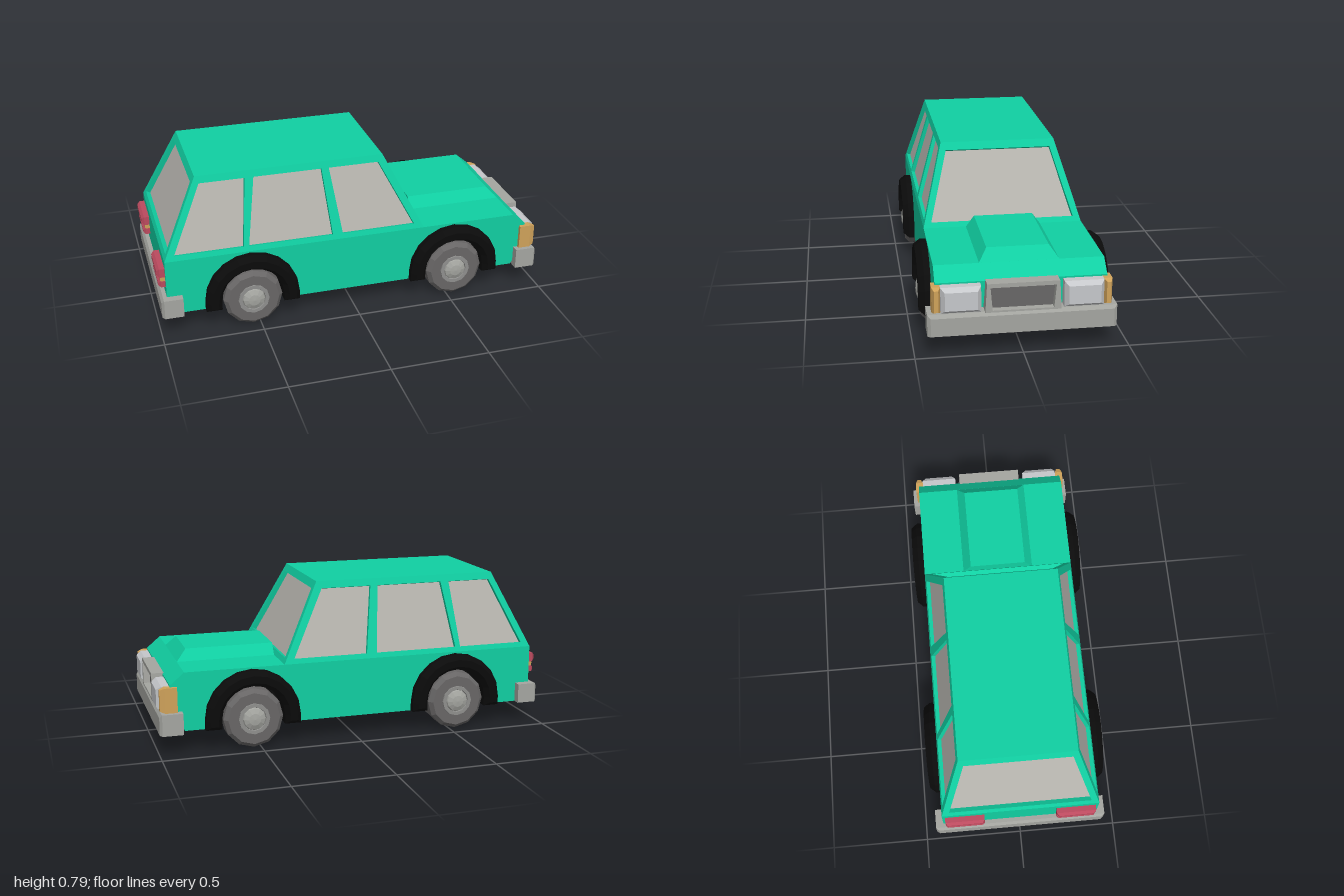
import * as THREE from 'three';
import { ConvexGeometry } from 'three/addons/geometries/ConvexGeometry.js';

const V = (x, y, z) => new THREE.Vector3(x, y, z);
const mat = (name, color, flatShading = true) => {
  const m = new THREE.MeshStandardMaterial({ color });
  m.name = name;
  m.flatShading = flatShading;
  return m;
};
// Rectangles across the x axis and across the y axis, joined by hull()
const rectX = (x, y0, y1, z0, z1) => [V(x, y0, z0), V(x, y1, z0), V(x, y1, z1), V(x, y0, z1)];
const rectY = (y, x0, x1, z) => [V(x0, y, -z), V(x1, y, -z), V(x1, y, z), V(x0, y, z)];
const hull = (a, b) => new ConvexGeometry([...a, ...b]);
const poly = (pts) => new THREE.Shape(pts.map(([x, y]) => new THREE.Vector2(x, y)));

// Flat panel with window holes, given by 3D corners and thickened inward
function panel(corners, holes, depth) {
  const u = corners[1].clone().sub(corners[0]).normalize();
  const n = u.clone().cross(corners[3].clone().sub(corners[0])).normalize();
  const v = n.clone().cross(u);
  const flat = (p) => {
    const d = p.clone().sub(corners[0]);
    return [d.dot(u), d.dot(v)];
  };
  const shape = poly(corners.map(flat));
  shape.holes = holes.map((h) => poly(h.map(flat)));
  const g = new THREE.ExtrudeGeometry(shape, { depth, bevelEnabled: false });
  g.translate(0, 0, -depth);
  return g.applyMatrix4(new THREE.Matrix4().makeBasis(u, v, n).setPosition(corners[0]));
}

// Arc over a wheel, from its left end to its right end
const axleX = 0.535, axleY = 0.155, floorY = 0.107;
function arc(cx, r, steps = 10) {
  const pts = [[cx - r, floorY]];
  for (let i = 0; i <= steps; i++) {
    const a = Math.PI * (1 - i / steps);
    pts.push([cx + r * Math.cos(a), axleY + r * Math.sin(a)]);
  }
  pts.push([cx + r, floorY]);
  return pts;
}

export function createModel() {
  const car = new THREE.Group();
  car.name = 'car';
  const green = mat('greenPaint', 0x10cfa2);
  const glass = mat('windowGlass', 0xb7b5af);
  const black = mat('blackTrim', 0x0b0b0b);
  const rubber = mat('darkGrey', 0x686666);
  const rim = mat('rimGrey', 0x8f8f8d);
  const metal = mat('bumperMetal', 0xa4a5a0);
  const lamp = mat('lampSilver', 0xc5c7ca);
  const amber = mat('amberLens', 0xcfa25a);
  const red = mat('redLens', 0xbb4a5e);
  const add = (name, geometry, material, parent = car) => {
    const m = new THREE.Mesh(geometry, material);
    m.name = name;
    parent.add(m);
    return m;
  };
  const box = (x0, x1, y0, y1, z0, z1) => hull(rectX(x0, y0, y1, z0, z1), rectX(x1, y0, y1, z0, z1));

  // Lower body with wheel openings
  const body = new THREE.ExtrudeGeometry(poly([
    [-0.93, floorY], ...arc(-axleX, 0.2), ...arc(axleX, 0.2),
    [0.87, floorY], [0.93, 0.2], [0.938, 0.34], [0.867, 0.4], [-0.96, 0.4], [-0.96, 0.2],
  ]), { depth: 0.8, bevelEnabled: false });
  add('body', body.translate(0, 0, -0.4), green);
  add('bonnetBulge', hull(
    [V(0.37, 0.39, -0.195), V(0.37, 0.39, 0.195), V(0.876, 0.39, -0.195), V(0.876, 0.39, 0.195)],
    [V(0.37, 0.455, -0.147), V(0.37, 0.455, 0.147), V(0.816, 0.455, -0.147), V(0.816, 0.455, 0.147)],
  ), green);

  // Cabin: glass core, roof and window frames
  const y0 = 0.4, y1 = 0.787, rear0 = -0.96, rear1 = -0.775, front0 = 0.37, front1 = 0.175;
  add('windows', hull(rectY(0.39, -0.937, 0.345, 0.382), rectY(0.775, -0.757, 0.157, 0.275)), glass);
  add('roof', hull(rectY(y1 - 0.02, rear1 - 0.0096, front1 + 0.01, 0.2957), rectY(y1, rear1, front1, 0.29)), green);
  const sideZ = (y) => 0.4 - (0.11 * (y - y0)) / (y1 - y0);
  const openings = [
    [-0.91, -0.567, -0.532, -0.757],
    [-0.54, -0.112, -0.145, -0.488],
    [-0.06, 0.318, 0.15, -0.107],
  ];
  for (const s of [1, -1]) {
    const side = (x, y) => V(x, y, s * sideZ(y));
    const order = (a) => (s > 0 ? a : [a[1], a[0], a[3], a[2]]);
    const corners = order([side(rear0, y0), side(front0, y0), side(front1, y1), side(rear1, y1)]);
    const holes = openings.map(([a, b, c, d]) => [side(a, 0.425), side(b, 0.425), side(c, 0.752), side(d, 0.752)]);
    add(s > 0 ? 'rightWindowFrame' : 'leftWindowFrame', panel(corners, holes, 0.025), green);
  }
  for (const [name, a, b, s] of [['windscreenFrame', front0, front1, 1], ['rearWindowFrame', rear0, rear1, -1]]) {
    const at = (y, z) => V(a + ((b - a) * (y - y0)) / (y1 - y0), y, z * s);
    add(name, panel(
      [at(y0, 0.4), at(y0, -0.4), at(y1, -0.29), at(y1, 0.29)],
      [[at(0.425, 0.36), at(0.425, -0.36), at(0.75, -0.266), at(0.75, 0.266)]], 0.025), green);
  }

  // Underside
  add('floorPan', box(-0.93, 0.88, 0.1, 0.11, -0.3, 0.3), rubber);
  add('chassis', hull(rectY(0.07, -0.705, 0.715, 0.22), rectY(0.105, -0.73, 0.742, 0.22)), rubber);

  // Wheels, arches and wells
  const archShape = poly([...arc(0, 0.238), ...arc(0, 0.158).reverse()]);
  const archGeo = new THREE.ExtrudeGeometry(archShape, {
    depth: 0.125, bevelEnabled: true, bevelSegments: 1, bevelSize: 0.022, bevelOffset: -0.022, bevelThickness: 0.03,
  }).translate(0, 0, 0.305);
  const turned = (pts) => new THREE.LatheGeometry(pts.map(([r, z]) => new THREE.Vector2(r, z)), 12)
    .rotateX(Math.PI / 2).translate(0, 0.15, 0);
  const tyreGeo = turned([[0, 0.315], [0.13, 0.315], [0.15, 0.335], [0.15, 0.42], [0.13, 0.44], [0.078, 0.44], [0.07, 0.425], [0, 0.425]]);
  const rimGeo = turned([[0.08, 0.43], [0.078, 0.446], [0.06, 0.446], [0.056, 0.435]]);
  const capGeo = turned([[0.06, 0.435], [0.054, 0.447], [0.03, 0.457], [0, 0.46]]);
  for (const x of [axleX, -axleX]) {
    add('wheelWell', box(x - 0.21, x + 0.21, 0.102, 0.37, -0.3, 0.3), black);
    for (const s of [1, -1]) {
      const corner = new THREE.Group();
      corner.name = (x > 0 ? 'front' : 'rear') + 'Wheel';
      corner.position.x = x;
      corner.rotation.y = s > 0 ? 0 : Math.PI;
      add('wheelArch', archGeo, black, corner);
      add('tyre', tyreGeo, rubber, corner);
      add('rim', rimGeo, rim, corner);
      add('hubCap', capGeo, metal, corner);
      car.add(corner);
    }
  }

  // Bumpers
  add('frontBumper', hull(rectX(0.882, 0.1, 0.207, -0.44, 0.44),
    [...rectX(0.985, 0.1, 0.207, -0.44, 0.44), ...rectX(0.997, 0.102, 0.19, -0.425, 0.425)]), metal);
  add('rearBumper', hull(rectX(-0.885, 0.107, 0.207, -0.44, 0.44),
    [...rectX(-0.98, 0.107, 0.207, -0.44, 0.44), ...rectX(-0.992, 0.109, 0.19, -0.425, 0.425)]), metal);

  // Grille
  const surround = poly([[-0.176, 0.205], [0.176, 0.205], [0.168, 0.345], [-0.168, 0.345]]);
  surround.holes = [poly([[-0.142, 0.214], [0.142, 0.214], [0.152, 0.325], [-0.152, 0.325]])];
  add('grilleSurround', new THREE.ExtrudeGeometry(surround, { depth: 0.07, bevelEnabled: false })
    .rotateY(Math.PI / 2).translate(0.924, 0, 0), metal);
  add('grille', box(0.92, 0.96, 0.205, 0.335, -0.16, 0.16), rubber);

  // Lamps on both sides
  for (const s of [1, -1]) {
    const block = (x0, x1, ya, yb, za, zb, inset) => hull(
      [...rectX(x0, ya, yb, s * za, s * zb), ...rectX(x0 + (x1 - x0) * 0.7, ya, yb, s * za, s * zb)],
      rectX(x1, ya + inset, yb - inset, s * (za + inset), s * (zb - inset)));
    add('headlamp', block(0.92, 1, 0.207, 0.332, 0.192, 0.378, 0.018), lamp);
    add('indicator', block(0.905, 0.99, 0.207, 0.332, 0.378, 0.418, 0.01), amber);
    add('upperTailLamp', block(-0.955, -1, 0.312, 0.358, 0.185, 0.385, 0.012), red);
    add('rearIndicator', block(-0.955, -0.985, 0.29, 0.312, 0.187, 0.383, 0.002), amber);
    add('lowerTailLamp', block(-0.955, -0.995, 0.258, 0.29, 0.185, 0.385, 0.01), red);
  }
  return car;
}
